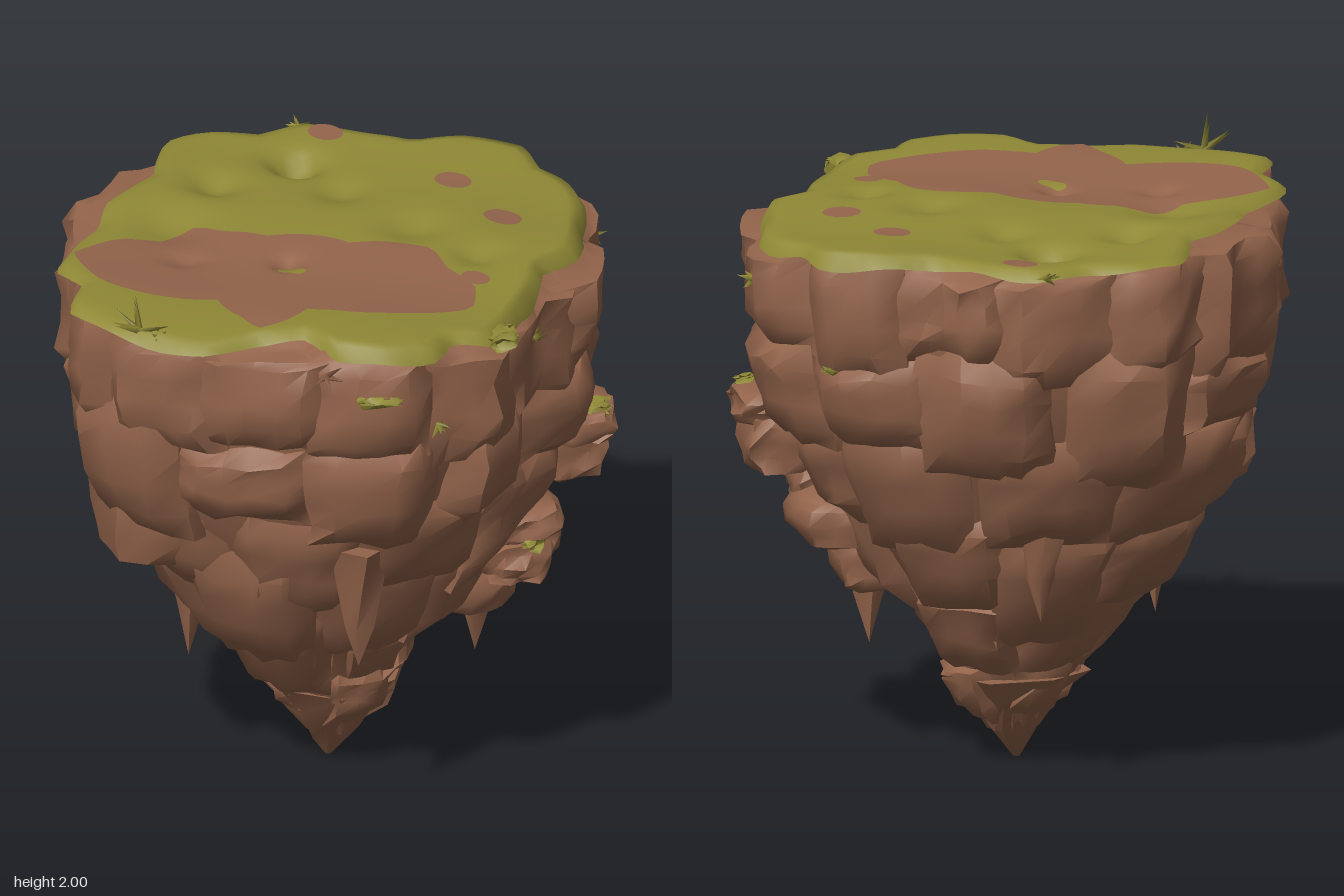
import * as THREE from 'three';
import { mergeVertices, toCreasedNormals } from 'three/addons/utils/BufferGeometryUtils.js';

const rock = new THREE.MeshStandardMaterial({ color: 0x93644b });
rock.name = 'earthBrown';
const grass = new THREE.MeshStandardMaterial({ color: 0x8f8836, side: THREE.DoubleSide });
grass.name = 'mossGreen';

let seed = 7;
const rnd = () => (seed = (seed * 16807) % 2147483647) / 2147483647;
const jit = (s) => (rnd() - 0.5) * 2 * s;

// Plan outlines as [x, z] points
const RIM = [[0.91, -0.18], [0.89, 0.05], [0.86, 0.2], [0.8, 0.38], [0.62, 0.42], [0.55, 0.55], [0.42, 0.8], [0.24, 0.79],
  [0.19, 0.87], [0.04, 0.89], [-0.15, 0.84], [-0.4, 0.74], [-0.55, 0.7], [-0.72, 0.57], [-0.85, 0.5], [-0.95, 0.34],
  [-0.86, 0.18], [-0.93, 0.03], [-0.84, -0.2], [-0.8, -0.46], [-0.64, -0.56], [-0.58, -0.7], [-0.43, -0.73],
  [-0.38, -0.88], [-0.08, -0.85], [0.09, -0.9], [0.34, -0.82], [0.4, -0.68], [0.56, -0.67], [0.77, -0.55], [0.8, -0.4], [0.91, -0.3]];
const TURF = [[0.86, -0.2], [0.82, 0], [0.76, 0.2], [0.63, 0.27], [0.58, 0.42], [0.5, 0.56], [0.38, 0.74], [0.24, 0.75],
  [0.19, 0.83], [0.03, 0.85], [-0.13, 0.79], [-0.2, 0.66], [-0.38, 0.64], [-0.55, 0.67], [-0.81, 0.49], [-0.92, 0.34],
  [-0.84, 0.18], [-0.9, 0.03], [-0.82, -0.1], [-0.7, -0.24], [-0.65, -0.38], [-0.46, -0.56], [-0.38, -0.81], [-0.25, -0.85],
  [-0.08, -0.81], [0.08, -0.86], [0.26, -0.75], [0.4, -0.65], [0.56, -0.64], [0.75, -0.53], [0.76, -0.4], [0.84, -0.3]];
const PATCH = [[-0.85, -0.04], [-0.68, -0.12], [-0.55, -0.1], [-0.42, -0.19], [-0.33, -0.12], [-0.2, -0.06], [-0.05, -0.02],
  [0.05, 0.07], [0.3, 0.16], [0.33, 0.3], [0.4, 0.42], [0.36, 0.58], [0.1, 0.6], [-0.1, 0.55], [-0.18, 0.52], [-0.28, 0.6],
  [-0.36, 0.62], [-0.4, 0.52], [-0.45, 0.37], [-0.6, 0.34], [-0.8, 0.2]];

// Turns an outline into radius as a function of angle (0 = +z, turning to +x)
function polar(points, cx = 0, cz = 0) {
  const T = Math.PI * 2;
  const p = points.map(([x, z]) => [(Math.atan2(x - cx, z - cz) + T) % T, Math.hypot(x - cx, z - cz)]).sort((a, b) => a[0] - b[0]);
  const last = p[p.length - 1], first = p[0];
  p.unshift([last[0] - T, last[1]]);
  p.push([first[0] + T, first[1]]);
  return (a) => {
    a = ((a % T) + T) % T;
    const i = p.findIndex((q) => q[0] > a);
    const [a0, r0] = p[i - 1], [a1, r1] = p[i];
    return r0 + (r1 - r0) * (a - a0) / (a1 - a0 || 1);
  };
}
const rimRadius = polar(RIM), turfRadius = polar(TURF);

// Width of the island against height, relative to the rim
const PROFILE = [[0, 0], [0.1, 0.1], [0.2, 0.18], [0.35, 0.27], [0.5, 0.36], [0.6, 0.46], [0.75, 0.59], [0.9, 0.7], [1.05, 0.79],
  [1.2, 0.88], [1.35, 0.94], [1.5, 0.98], [1.9, 1]];
function profile(y) {
  const i = Math.max(1, PROFILE.findIndex((q) => q[0] >= y));
  const [y0, s0] = PROFILE[i - 1], [y1, s1] = PROFILE[i];
  return s0 + (s1 - s0) * Math.max(0, y - y0) / (y1 - y0);
}
function islandRadius(a, y) {
  const round = THREE.MathUtils.clamp((1.5 - y) / 0.6, 0, 1) * 0.8;
  const middle = 0.88 - 0.04 * Math.sin(a) - 0.03 * Math.cos(2 * a);
  return THREE.MathUtils.lerp(rimRadius(a), middle, round) * profile(y);
}

// Uneven ground with hollows: [x, z, radius, depth]
const HOLLOWS = [[0, -0.6, 0.07, 0.09], [-0.3, -0.47, 0.08, 0.045], [-0.5, -0.2, 0.12, 0.035], [0.28, -0.02, 0.1, 0.035],
  [0.1, -0.35, 0.08, 0.03], [-0.17, 0.13, 0.05, 0.03], [-0.5, 0.05, 0.05, 0.025], [0.45, 0.2, 0.07, 0.03]];
function ground(x, z) {
  let y = 1.878 + 0.009 * Math.sin(6 * x + 3 * z) + 0.008 * Math.cos(7 * z - 4 * x + 1);
  for (const [hx, hz, r, d] of HOLLOWS) y -= d * Math.exp(-((x - hx) ** 2 + (z - hz) ** 2) / (r * r));
  return y;
}
// How far the turf droops over the rim, least on the model's right
const droop = (a) => 0.04 + 0.02 * Math.sin(a + 0.4);

function add(group, name, geo, material) {
  const mesh = new THREE.Mesh(geo, material);
  mesh.name = name;
  group.add(mesh);
  return mesh;
}

// Welds a geometry, moves each vertex by a rule, then creases it
function sculpt(geo, rule, crease = 0.95) {
  geo.deleteAttribute('normal');
  geo.deleteAttribute('uv');
  const g = mergeVertices(geo, 1e-4), p = g.attributes.position, v = new THREE.Vector3();
  for (let i = 0; i < p.count; i++) {
    rule(v.fromBufferAttribute(p, i));
    p.setXYZ(i, v.x, v.y, v.z);
  }
  return toCreasedNormals(g, crease);
}

// Disc that follows the ground; a skirt lets its rim hang down
function groundDisc(cx, cz, radius, lift, segs, rings, skirt) {
  const pos = [cx, ground(cx, cz) + lift, cz], idx = [];
  const loops = rings + (skirt ? 1 : 0);
  for (let k = 1; k <= loops; k++) for (let i = 0; i < segs; i++) {
    const a = i / segs * Math.PI * 2, r = radius(a) * Math.min(k / rings, 1) + (k > rings ? 0.025 : 0);
    const x = cx + r * Math.sin(a), z = cz + r * Math.cos(a);
    const drop = k > rings ? droop(a) * (1 + 0.35 * Math.sin(a * 13) * Math.sin(a * 5)) : k === rings && skirt ? 0.006 : 0;
    pos.push(x, ground(x, z) + lift - drop, z);
    const j = (i + 1) % segs, o = 1 + (k - 1) * segs, q = o - segs;
    if (k === 1) idx.push(0, o + i, o + j);
    else idx.push(q + i, o + i, o + j, q + i, o + j, q + j);
  }
  const g = new THREE.BufferGeometry();
  g.setAttribute('position', new THREE.Float32BufferAttribute(pos, 3));
  g.setIndex(idx);
  g.computeVertexNormals();
  return g;
}

// Wedge of rock bent around the island axis; the top row slopes away beyond the turf
function wedge(a, width, top, bottom, topRow) {
  const push = topRow ? jit(0.012) : jit(0.03), lean = jit(0.05);
  const step = topRow ? 0.4 : 0.25;
  return sculpt(new THREE.BoxGeometry(1, 1, 1, 5, 5, 4), (v) => {
    const edge = Math.max(Math.abs(v.x), topRow ? Math.max(-v.y, v.y * 0.88) : Math.abs(v.y)) * 2;
    const ang = a + v.x * width + lean * v.y + jit(0.018);
    const y = THREE.MathUtils.lerp(bottom, top, v.y + 0.5) + jit(0.016);
    const outer = islandRadius(ang, y * (1 - step) + top * step) + push - 0.06 * edge ** 5 + jit(0.014);
    const r = outer * (0.76 + 0.24 * (v.z + 0.5));
    const x = r * Math.sin(ang), z = r * Math.cos(ang);
    const beyond = THREE.MathUtils.clamp((r - turfRadius(ang) + 0.03) / 0.05, 0, 1);
    v.set(x, Math.min(y, ground(x, z) - 0.018 - beyond * droop(ang)), z);
  });
}

// Irregular rounded boulder
function boulder(w, h, d) {
  return sculpt(new THREE.BoxGeometry(1, 1, 1, 4, 4, 4), (v) => {
    v.multiplyScalar(1 - 0.75 * Math.max(0, v.length() - 0.5));
    v.set(v.x * w + jit(0.018), v.y * h + jit(0.008), v.z * d + jit(0.018));
  });
}

export function createModel() {
  const island = new THREE.Group();
  island.name = 'floatingIsland';

  // Solid core behind the rocks
  const corePoints = PROFILE.slice(1, -1).map(([y]) => new THREE.Vector2(1, y));
  corePoints.push(new THREE.Vector2(1, 1.75), new THREE.Vector2(0, 1.75));
  add(island, 'core', sculpt(new THREE.LatheGeometry(corePoints, 30), (v) => {
    const a = Math.atan2(v.x, v.z), r = Math.hypot(v.x, v.z) * (islandRadius(a, v.y) * 0.92 + jit(0.01));
    v.set(r * Math.sin(a), v.y, r * Math.cos(a));
  }), rock);

  // Tiers of rock: top, bottom, count, starting angle
  const cliff = new THREE.Group();
  cliff.name = 'cliffRocks';
  island.add(cliff);
  [[1.88, 1.46, 14, 0.0], [1.54, 1.13, 11, 0.02], [1.24, 0.8, 9, 0.3], [0.95, 0.54, 8, 0.1], [0.66, 0.32, 6, 0.4],
    [0.42, 0.15, 4, 0.2]].forEach(([top, bottom, n, start], t) => {
    for (let i = 0; i < n; i++) {
      const width = Math.PI * 2 / n;
      add(cliff, 'rock', wedge(start + (i + jit(0.12)) * width, width * (1.08 + jit(0.1)),
        top + (t ? jit(0.07) : 0), bottom + jit(t > 3 ? 0.03 : 0.08), t === 0), rock);
    }
  });

  // Pointed underside
  add(island, 'tip', sculpt(new THREE.CylinderGeometry(0.24, 0.012, 0.3, 7, 3), (v) => {
    const low = v.y < -0.14;
    v.set(v.x + (low ? -0.01 : jit(0.02)), v.y + 0.15 + (low ? 0 : jit(0.02)), v.z + (low ? 0 : jit(0.02)));
  }), rock);

  // Hanging stone spikes: tip x, y, z, height, radius
  [[-0.02, 0.6, 0.58, 0.46, 0.12], [0.46, 0.38, 0.1, 0.5, 0.13], [-0.49, 0.44, 0.08, 0.55, 0.13], [0.02, 0.6, -0.57, 0.46, 0.12],
    [0.12, 0.45, -0.33, 0.28, 0.07]].forEach(([x, y, z, h, r]) => {
    const spike = add(island, 'stoneSpike', sculpt(new THREE.ConeGeometry(r, h, 6, 3), (v) => {
      if (v.y < h * 0.45) v.set(v.x + jit(0.015), v.y, v.z + jit(0.015));
      v.set(v.x, -v.y, -v.z);
    }), rock);
    spike.position.set(x, y + h / 2, z);
  });

  // Ledges and bulges: x, y, z, width, height, depth
  [[0.81, 1.21, 0.11, 0.22, 0.13, 0.28], [0.77, 1.1, 0.07, 0.24, 0.24, 0.22], [0.56, 0.81, 0.26, 0.24, 0.16, 0.26],
    [0.54, 0.83, 0.1, 0.36, 0.2, 0.42], [0.58, 0.93, 0.22, 0.26, 0.14, 0.3], [0.42, 0.68, 0.12, 0.3, 0.24, 0.28],
    [-0.6, 1.12, 0.12, 0.42, 0.5, 0.55]].forEach(([x, y, z, w, h, d]) =>
    add(island, 'ledge', boulder(w, h, d), rock).position.set(x, y, z));

  // Moss pads on the ledges and cliff
  [[0.85, 1.265, 0.17, 0.09, 0.04, 0.09], [0.6, 0.88, 0.34, 0.08, 0.05, 0.08], [0, 1.71, 0.86, 0.15, 0.035, 0.07],
    [0.43, 1.83, 0.72, 0.09, 0.06, 0.1]].forEach(([x, y, z, w, h, d]) =>
    add(island, 'mossPad', boulder(w, h, d), grass).position.set(x, y, z));

  // Grass top, bare earth and round earth spots
  add(island, 'grassTop', groundDisc(0, 0, turfRadius, 0, 120, 24, true), grass);
  add(island, 'bareEarth', groundDisc(-0.22, 0.22, polar(PATCH, -0.22, 0.22), 0.006, 96, 20, false), rock);
  [[0.47, -0.33, 0.058], [0.58, -0.04, 0.06], [0.41, 0.37, 0.045], [0.13, -0.77, 0.055]].forEach(([x, z, r]) =>
    add(island, 'earthSpot', groundDisc(x, z, (a) => r * (1 + 0.12 * Math.sin(2 * a)), 0.006, 18, 3, false), rock));
  add(island, 'mossSpot', groundDisc(-0.17, 0.2, (a) => 0.035 + 0.015 * Math.cos(2 * a - 2), 0.011, 16, 3, false), grass);

  // Tufts and roots: x, y, z, tilt x, tilt z, blade length, material
  [[-0.74, 1.87, 0.53, 0, 0, 0.13, grass], [0.9, 1.71, -0.18, 0, -1.4, 0.06, grass],
    [0.2, 1.59, 0.84, 1.7, 0, 0.06, grass], [0.58, 1.69, 0.47, 1, -1, 0.06, grass], [0.06, 1.85, -0.87, -1.2, 0, 0.06, grass],
    [-0.18, 1.8, 0.84, 1.4, 0, 0.08, rock], [-0.68, 1.85, 0.55, 0.9, 0.4, 0.07, grass], [0.7, 1.47, -0.51, -1, -1, 0.06, grass]
  ].forEach(([x, y, z, rx, rz, len, mat]) => {
    const tuft = new THREE.Group();
    tuft.name = mat === grass ? 'grassTuft' : 'rootTuft';
    for (let i = 0; i < 6; i++) {
      const l = len * (i ? 0.55 + 0.4 * rnd() : 1), geo = new THREE.ConeGeometry(0.014, l, 3).translate(0, l / 2, 0);
      add(tuft, 'blade', geo, mat).rotation.set(i ? jit(1) : 0, 0, i ? jit(1.1) : 0.1);
    }
    tuft.position.set(x, y, z);
    tuft.rotation.set(rx, 0, rz);
    island.add(tuft);
  });
  return island;
}
